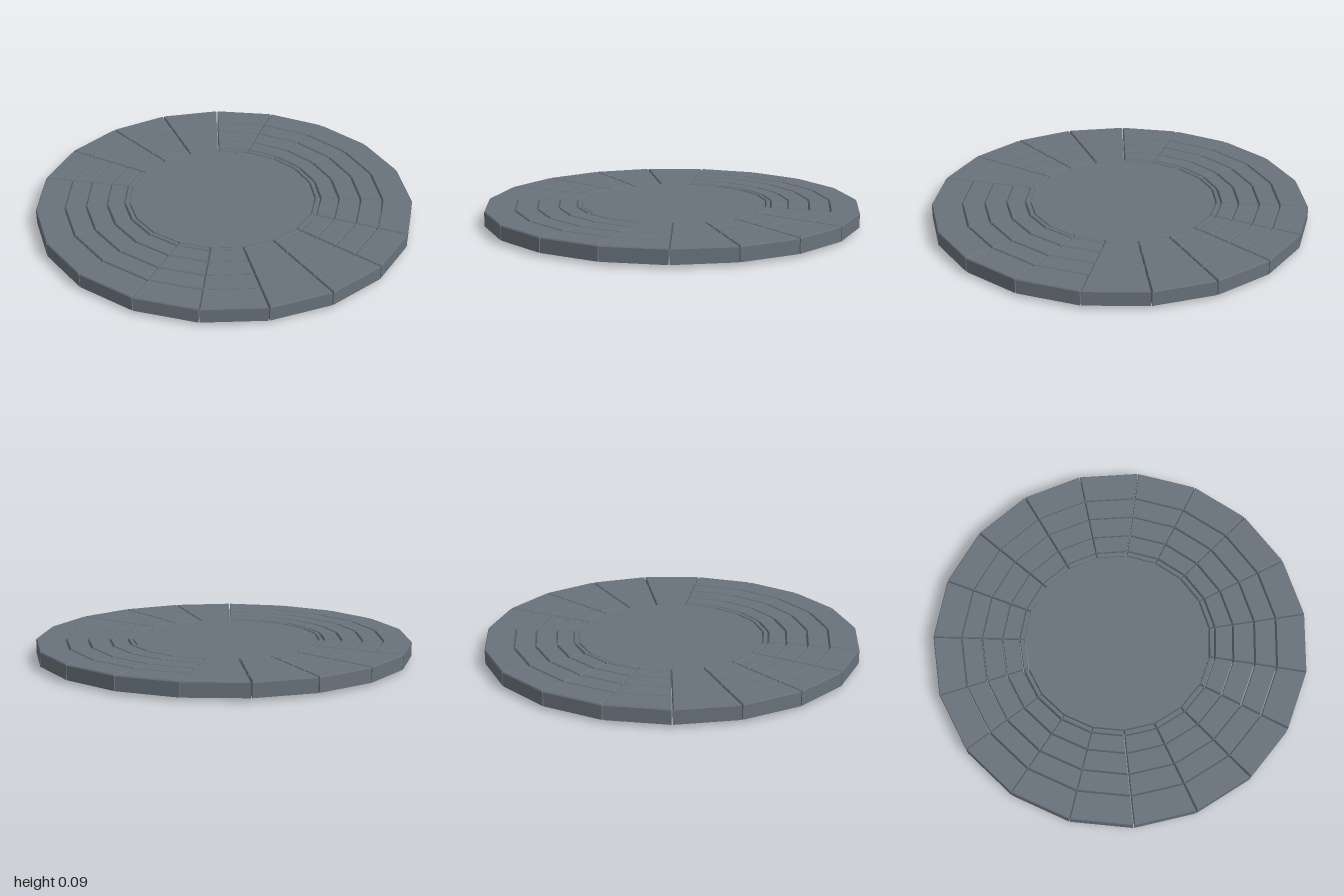
import * as THREE from 'three';
import { mergeGeometries } from 'three/addons/utils/BufferGeometryUtils.js';

const SIDES = 19;
const HALF = Math.PI / SIDES;
const RADII = [0.497, 0.527, 0.622, 0.735, 0.849, 1.0034];
const BOTTOM = 0.016, SHOULDER = 0.088, TOP = 0.094;
const GAP = 0.003, BEVEL = 0.004;

// Ring centres drift slightly forward as the rings grow
const centreZ = (r) => -0.01 + (r - 0.527) * 0.0357;

// Four corners of a wedge slab, inset by d and counter-clockwise from above
function corners(r0, r1, angle, d, y, outerInset) {
  const point = (r, shift, sign) => {
    const a = r * Math.cos(HALF) + shift;
    const t = sign * (a * Math.tan(HALF) - d / Math.cos(HALF));
    return [
      a * Math.sin(angle) + t * Math.cos(angle),
      y,
      -a * Math.cos(angle) + t * Math.sin(angle) + centreZ(r),
    ];
  };
  return [point(r0, d, -1), point(r0, d, 1), point(r1, -outerInset, 1), point(r1, -outerInset, -1)];
}

// A slab with straight sides and a narrow bevel round its top
function slab(r0, r1, angle, isRim) {
  const edge = isRim ? 0 : GAP;
  const layers = [
    corners(r0, r1, angle, GAP, BOTTOM, edge),
    corners(r0, r1, angle, GAP, SHOULDER, edge),
    corners(r0, r1, angle, GAP + BEVEL, TOP, edge + BEVEL),
  ];
  const index = [0, 2, 1, 0, 3, 2, 8, 9, 10, 8, 10, 11];
  for (let l = 0; l < 2; l++) {
    for (let i = 0; i < 4; i++) {
      const a = l * 4 + i, b = l * 4 + (i + 1) % 4;
      index.push(a, b, b + 4, a, b + 4, a + 4);
    }
  }
  const indexed = new THREE.BufferGeometry();
  indexed.setAttribute('position', new THREE.Float32BufferAttribute(layers.flat(2), 3));
  indexed.setIndex(index);
  const geometry = indexed.toNonIndexed();
  geometry.computeVertexNormals();
  return geometry;
}

export function createModel() {
  const group = new THREE.Group();
  const stone = new THREE.MeshStandardMaterial({ color: 0x69727b });
  stone.name = 'slate grey stone';
  stone.flatShading = true;

  // Rings of separate paving slabs
  for (let ring = 0; ring < RADII.length - 1; ring++) {
    const slabs = [];
    for (let k = 0; k < SIDES; k++) {
      slabs.push(slab(RADII[ring], RADII[ring + 1], (2 * k + 1) * HALF, ring === RADII.length - 2));
    }
    const mesh = new THREE.Mesh(mergeGeometries(slabs), stone);
    mesh.name = `pavingRing${ring + 1}`;
    group.add(mesh);
  }

  // Central disc, reaching a little below the slabs
  const discTop = 0.09;
  const disc = new THREE.Mesh(
    new THREE.CylinderGeometry(0.495, 0.495, discTop, SIDES, 1, false, Math.PI),
    stone,
  );
  disc.name = 'centreDisc';
  disc.position.set(0, discTop / 2, -0.011);
  group.add(disc);

  return group;
}
